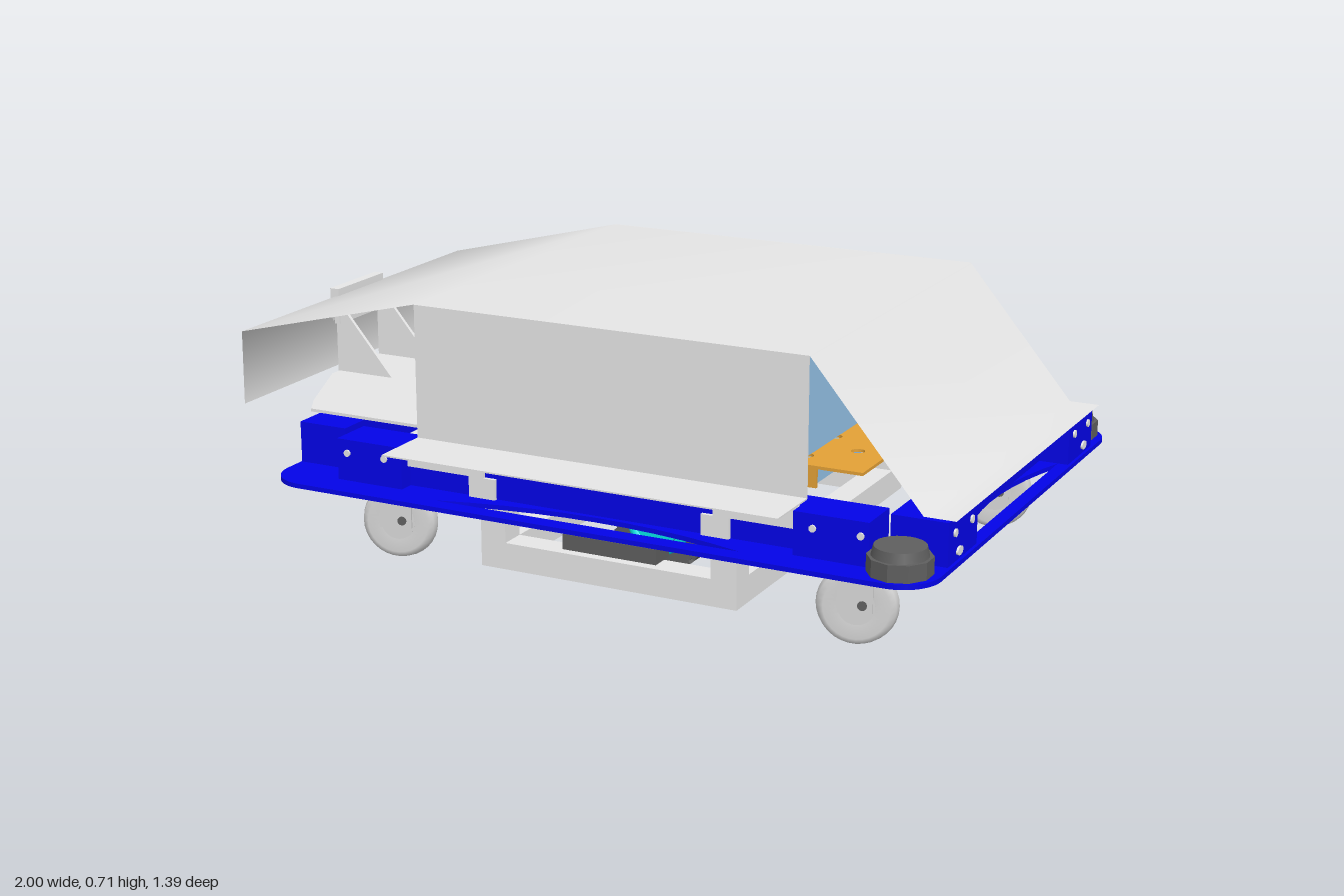
import * as THREE from 'three';

const mat = (name, color, side = THREE.FrontSide) => {
  const m = new THREE.MeshStandardMaterial({ color, side });
  m.name = name;
  return m;
};

export function createModel() {
  const root = new THREE.Group();
  root.name = 'mobileRobotBase';
  const gray = mat('lightGray', 0xe6e6e6, THREE.DoubleSide);
  const steel = mat('wheelGray', 0xd4d4d4);
  const blue = mat('frameBlue', 0x0303f0, THREE.DoubleSide);
  const cyan = mat('cyan', 0x02e8ec);
  const pink = mat('pink', 0xe6b0ea);
  const black = mat('black', 0x161616);
  const dark = mat('darkGray', 0x5e5e5e);
  const red = mat('red', 0xea0404);
  const orange = mat('orange', 0xe2a036);
  const panel = mat('paleBlue', 0x96c4ea);

  const add = (name, geo, m, x = 0, y = 0, z = 0, parent = root) => {
    const mesh = new THREE.Mesh(geo, m);
    mesh.name = name;
    mesh.position.set(x, y, z);
    parent.add(mesh);
    return mesh;
  };
  // Box given by its limits on each axis
  const box = (name, m, x0, x1, y0, y1, z0, z1, parent = root) =>
    add(name, new THREE.BoxGeometry(x1 - x0, y1 - y0, z1 - z0), m, (x0 + x1) / 2, (y0 + y1) / 2, (z0 + z1) / 2, parent);
  const cylZ = (name, m, r, len, x, y, z, parent = root, seg = 32) =>
    add(name, new THREE.CylinderGeometry(r, r, len, seg).rotateX(Math.PI / 2), m, x, y, z, parent);
  const cylX = (name, m, r, len, x, y, z) =>
    add(name, new THREE.CylinderGeometry(r, r, len, 16).rotateZ(Math.PI / 2), m, x, y, z);
  const polygon = pts => new THREE.Shape(pts.map(p => new THREE.Vector2(...p)));
  // Flat horizontal plate cut from a shape drawn in x and z
  const plate = (name, m, shape, y, depth) =>
    add(name, new THREE.ExtrudeGeometry(shape, { depth, bevelEnabled: false, curveSegments: 10 }).rotateX(-Math.PI / 2), m, 0, y, 0);
  // Thin sheet folded along z, following a profile in x and y with smooth shading
  const sheet = (name, m, profile, width) => {
    const geo = new THREE.PlaneGeometry(1, width, profile.length - 1, 1).rotateX(-Math.PI / 2);
    const pos = geo.attributes.position;
    for (let i = 0; i < pos.count; i++) {
      const [x, y] = profile[i % profile.length];
      pos.setXYZ(i, x, y, pos.getZ(i));
    }
    geo.computeVertexNormals();
    return add(name, geo, m);
  };
  const rounded = (s, x0, x1, z, r) => {
    s.moveTo(x0 + r, -z);
    s.lineTo(x1 - r, -z); s.absarc(x1 - r, -z + r, r, -Math.PI / 2, 0);
    s.lineTo(x1, z - r); s.absarc(x1 - r, z - r, r, 0, Math.PI / 2);
    s.lineTo(x0 + r, z); s.absarc(x0 + r, z - r, r, Math.PI / 2, Math.PI);
    s.lineTo(x0, -z + r); s.absarc(x0 + r, -z + r, r, Math.PI, Math.PI * 1.5);
    return s;
  };

  // Folded sheet cover with open ends, and its upright sides
  sheet('coverRoof', gray, [[-0.972, 0.38], [-0.97, 0.575], [-0.44, 0.706], [0.63, 0.706]], 1.06);
  sheet('coverSlope', gray, [[0.63, 0.706], [0.92, 0.361], [1, 0.361]], 1.06);
  for (const s of [-1, 1]) {
    box('coverSide', gray, -0.44, 0.63, 0.36, 0.706, s * 0.53 - 0.002, s * 0.53 + 0.002);
    box('coverFlange', gray, -0.44, 0.63, 0.358, 0.362, s * 0.613 - 0.083, s * 0.613 + 0.083);
  }
  box('rearPlate', gray, -0.11, 0.25, 0.362, 0.374, -0.69, -0.54);
  for (const x of [-0.05, 0.18]) {
    add('plateScrew', new THREE.CylinderGeometry(0.006, 0.006, 0.004, 10), dark, x, 0.375, -0.64);
  }

  // End handle on its backing plate, and wedge-shaped stiffeners
  box('handleBacking', gray, -0.982, -0.955, 0.5, 0.598, -0.11, 0.11);
  box('handleGrip', steel, -1, -0.988, 0.51, 0.555, -0.12, 0.12);
  for (const s of [-1, 1]) {
    box('handlePost', steel, -0.99, -0.97, 0.51, 0.555, s * 0.11 - 0.01, s * 0.11 + 0.01);
    const wedge = polygon([[-0.968, 0.36], [-0.79, 0.36], [-0.968, 0.57]]);
    add('stiffener', new THREE.ExtrudeGeometry(wedge, { depth: 0.01, bevelEnabled: false }), gray, 0, 0, s * 0.1 - 0.005);
  }
  const deck = [[-0.44, -0.45], [-0.44, 0.45], [-0.82, 0.45], [-0.86, 0.38], [-0.965, 0.14], [-0.965, -0.14], [-0.86, -0.38], [-0.82, -0.45]];
  plate('endDeck', gray, polygon(deck), 0.358, 0.008);
  box('floorPlate', gray, -0.5, 0.3, 0.342, 0.35, -0.49, 0.49);

  // Emergency button
  cylZ('buttonStem', red, 0.027, 0.024, 0.38, 0.53, -0.543);
  cylZ('buttonHead', red, 0.036, 0.01, 0.38, 0.53, -0.559);

  // Cyan unit with its ribbed cable gland
  box('controlUnit', cyan, -0.765, -0.545, 0.385, 0.475, -0.44, -0.22);
  for (let i = 0; i < 5; i++) cylX('cableRib', steel, 0.026, 0.01, -0.53 + i * 0.018, 0.42, -0.33);
  cylX('cable', steel, 0.014, 0.12, -0.49, 0.42, -0.33);

  // Inner equipment under the cover
  box('equipmentBox', panel, -0.41, 0.2, 0.41, 0.66, -0.46, 0.46);
  box('equipmentBoxEnd', panel, 0.2, 0.56, 0.41, 0.66, -0.2, 0.46);
  box('equipmentTray', panel, 0.1, 0.38, 0.335, 0.41, -0.38, 0.38);

  // Perforated tray with folded tabs
  const perforated = polygon([[0.38, -0.24], [0.65, -0.24], [0.65, 0.42], [0.38, 0.42]]);
  for (let i = 0; i < 7; i++) {
    perforated.holes.push(new THREE.Path().absarc(i % 2 ? 0.57 : 0.47, -0.17 + i * 0.09, 0.018, 0, Math.PI * 2, true));
  }
  plate('perforatedTray', orange, perforated, 0.335, 0.008);
  for (const z of [-0.2, 0.22]) box('trayTab', orange, 0.4, 0.52, 0.28, 0.335, z - 0.005, z + 0.005);
  for (const z of [-0.06, 0.12]) box('trayDivider', panel, 0.41, 0.5, 0.275, 0.335, z - 0.05, z + 0.05);

  // Blue chassis: rounded ring plate with lens-shaped slots beside the beams
  const ring = rounded(new THREE.Shape(), -0.8, 0.99, 0.69, 0.1);
  ring.holes.push(rounded(new THREE.Path(), -0.62, 0.8, 0.46, 0.04));
  for (const s of [-1, 1]) {
    const side = new THREE.Path();
    side.moveTo(-0.32, s * 0.645);
    side.quadraticCurveTo(0.095, s * 0.52, 0.51, s * 0.645);
    side.closePath();
    const end = new THREE.Path();
    const x = 0.095 + s * 0.86;
    end.moveTo(x, -0.34);
    end.quadraticCurveTo(x - s * 0.12, 0, x, 0.34);
    end.closePath();
    ring.holes.push(side, end);
  }
  plate('chassisRing', blue, ring, 0.235, 0.012);

  for (const s of [-1, 1]) {
    // End beams: set-back middle and full-depth corner blocks
    const mid = 0.095 + s * 0.78;
    box('endBeam', blue, mid - 0.03, mid + 0.03, 0.247, 0.355, -0.35, 0.35);
    for (const [x0, x1] of [[0.84, 0.982], [-0.798, -0.66]]) {
      const z = s * 0.435;
      box('endBeamBlock', blue, x0, x1, 0.247, 0.355, z - 0.095, z + 0.095);
    }
    // Side beams, with bracket blocks at both ends
    box('sideBeam', blue, -0.44, 0.63, 0.247, 0.355, s * 0.53 - 0.04, s * 0.53 + 0.04);
    for (const [x0, x1] of [[-0.63, -0.44], [0.63, 0.82]]) {
      box('sideBeamBlock', blue, x0, x1, 0.247, 0.355, s * 0.55 - 0.06, s * 0.55 + 0.06);
    }
    // Gray brackets tying the cradle to the side beams
    for (const [x0, x1, p] of [[-0.44, -0.22, -0.225], [0.41, 0.63, 0.415]]) {
      box('sideBracket', gray, x0, x1, 0.3, 0.356, s * 0.576 - 0.005, s * 0.576 + 0.005);
      box('sideBracketLeg', gray, p - 0.037, p + 0.037, 0.247, 0.3, s * 0.576 - 0.005, s * 0.576 + 0.005);
    }
    for (const x of [-0.6, -0.49, 0.68, 0.8]) cylZ('boltHead', gray, 0.009, 0.006, x, 0.32, s * 0.612, root, 12);
    for (const x of [-0.8, 0.984]) {
      for (const z of [0.38, 0.49]) cylX('boltHead', gray, 0.01, 0.006, x, 0.32, s * z);
      cylX('beamSlot', gray, 0.018, 0.006, x, 0.268, s * 0.46).scale.y = 0.6;
    }
  }

  // Corner bumpers on three corners
  for (const [x, z] of [[-0.71, -0.605], [0.895, -0.605], [0.895, 0.605]]) {
    add('bumperBase', new THREE.CylinderGeometry(0.078, 0.078, 0.042, 10).toNonIndexed(), dark, x, 0.268, z).geometry.computeVertexNormals();
    add('bumperCap', new THREE.CylinderGeometry(0.062, 0.068, 0.026, 24), dark, x, 0.3, z);
  }

  // Casters, all swivelled the same way
  const tyre = [[0.04, -0.024], [0.08, -0.028], [0.094, -0.02], [0.1, 0], [0.094, 0.02], [0.08, 0.028], [0.04, 0.024]].map(p => new THREE.Vector2(...p));
  for (const [x, z] of [[-0.555, 0.445], [0.74, 0.475]]) {
    for (const s of [-1, 1]) {
      const caster = new THREE.Group();
      caster.name = 'caster';
      caster.position.set(x, 0, s * z);
      caster.rotation.y = 0.28;
      root.add(caster);
      add('casterTyre', new THREE.LatheGeometry(tyre, 32).rotateX(Math.PI / 2), steel, 0, 0.1, 0, caster);
      cylZ('casterHub', steel, 0.045, 0.05, 0, 0.1, 0, caster);
      cylZ('casterAxle', dark, 0.012, 0.084, 0.015, 0.11, 0, caster, 12);
      for (const f of [-1, 1]) box('casterFork', steel, -0.045, 0.04, 0.09, 0.22, f * 0.036 - 0.004, f * 0.036 + 0.004, caster);
      box('casterCrown', steel, -0.045, 0.045, 0.21, 0.235, -0.04, 0.04, caster);
      box('casterMount', blue, -0.09, 0.09, 0.236, 0.246, -0.07, 0.07, caster);
    }
  }

  // Square-tube drive cradle
  for (const s of [-1, 1]) {
    box('cradleSideRail', gray, -0.26, 0.45, 0.05, 0.12, s * 0.495 - 0.035, s * 0.495 + 0.035);
    for (const x of [-0.225, 0.415]) box('cradlePost', gray, x - 0.035, x + 0.035, 0.12, 0.29, s * 0.495 - 0.035, s * 0.495 + 0.035);
    box('cradleContact', dark, -0.04, 0.22, 0.12, 0.16, s * 0.47 - 0.035, s * 0.47 + 0.035);
  }
  for (const x of [-0.225, 0.415]) box('cradleCrossRail', gray, x - 0.035, x + 0.035, 0.05, 0.12, -0.46, 0.46);
  box('driveMountPlate', gray, -0.06, 0.26, 0.228, 0.236, -0.09, 0.09);
  for (const x of [-0.16, 0.35]) box('topCrossRail', gray, x - 0.025, x + 0.025, 0.25, 0.29, -0.5, 0.5);

  // Drive wheels with treads, hubs and motors
  for (const s of [-1, 1]) {
    const wheel = new THREE.Group();
    wheel.name = 'driveWheel';
    wheel.position.set(0.095, 0.135, s * 0.21);
    root.add(wheel);
    cylZ('driveTyre', dark, 0.127, 0.07, 0, 0, 0, wheel, 40);
    for (let i = 0; i < 48; i++) {
      const h = i % 2 ? 1 : -1;
      const a = (i / 48) * Math.PI * 2;
      const t = box('treadBlock', dark, -0.008, 0.008, -0.01, 0.01, -0.017, 0.017, wheel);
      t.position.set(Math.cos(a) * 0.127, Math.sin(a) * 0.127, h * 0.019);
      t.rotation.z = a;
    }
    cylZ('wheelDisc', dark, 0.108, 0.006, 0, 0, s * 0.034, wheel);
    add('hubRim', new THREE.TorusGeometry(0.076, 0.014, 10, 36), cyan, 0, 0, s * 0.036, wheel);
    cylZ('hubDisc', cyan, 0.062, 0.016, 0, 0, s * 0.04, wheel);
    cylZ('hubCentre', dark, 0.03, 0.02, 0, 0, s * 0.042, wheel);
    cylZ('gearbox', pink, 0.065, 0.07, 0.095, 0.135, s * 0.14);
    cylZ('motorFlange', pink, 0.048, 0.075, 0.24, 0.165, s * 0.143);
    cylZ('motor', black, 0.042, 0.09, 0.24, 0.162, s * 0.058);
    cylZ('driveAxle', black, 0.04, 0.09, 0.095, 0.135, s * 0.06);
  }
  cylZ('motorJoint', dark, 0.022, 0.03, 0.24, 0.165, 0);
  box('motorHanger', dark, 0.08, 0.25, 0.17, 0.228, -0.015, 0.015);

  return root;
}
